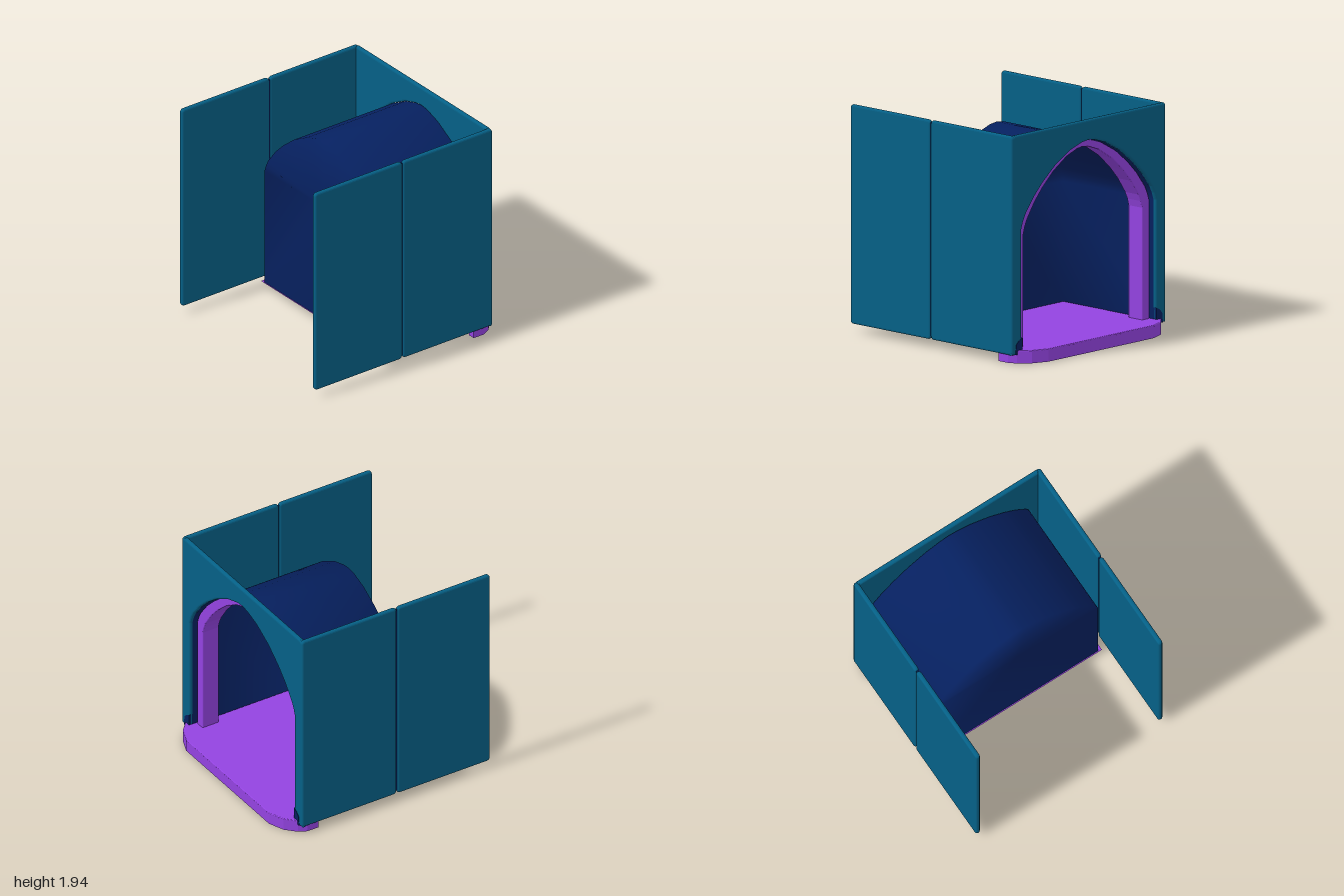
import * as THREE from 'three';

const mat = (name, hex, side = THREE.FrontSide) => {
  const m = new THREE.MeshStandardMaterial({ color: hex, side });
  m.name = name;
  return m;
};

// Right half of the arch, from floor to apex
const halfArch = [
  [0.81, 0.072], [0.81, 1.13], [0.79, 1.19], [0.76, 1.25], [0.66, 1.38],
  [0.55, 1.49], [0.4, 1.61], [0.22, 1.71], [0.08, 1.755], [0, 1.765],
];
// Full arch from +x foot over the apex to -x foot
const arch = (sx = 1, dy = 0, foot = 0.072) => {
  const half = halfArch.map(([x, y], i) => [x * sx, i === 0 ? foot : y - dy]);
  return [...half, ...half.slice(0, -1).reverse().map(([x, y]) => [-x, y])];
};
const shapeOf = (pts) => new THREE.Shape(pts.map(([x, y]) => new THREE.Vector2(x, y)));

// Extrusion whose bevel stays inside the given outline and depth
function slab(shape, depth, bevel = 0) {
  const g = new THREE.ExtrudeGeometry(shape, {
    depth: depth - 2 * bevel, bevelEnabled: bevel > 0, bevelSize: bevel,
    bevelThickness: bevel, bevelOffset: -bevel, bevelSegments: 3, curveSegments: 6,
  });
  return g.translate(0, 0, bevel);
}

function roundedRect(w, h, r) {
  const s = new THREE.Shape(), x = w / 2, y = h / 2;
  s.absarc(x - r, y - r, r, 0, Math.PI / 2);
  s.absarc(-x + r, y - r, r, Math.PI / 2, Math.PI);
  s.absarc(-x + r, -y + r, r, Math.PI, Math.PI * 1.5);
  s.absarc(x - r, -y + r, r, Math.PI * 1.5, Math.PI * 2);
  return s;
}

// Smooth vault swept along z, closed by an end wall that shares its rim
function vault(pts, z0, z1) {
  const pos = [], idx = [], hub = pts.length * 2;
  pts.forEach(([x, y]) => pos.push(x, y, z0, x, y, z1));
  pos.push(0, 1.15, z1);
  for (let a = 0; a < hub - 2; a += 2) {
    idx.push(a, a + 2, a + 1, a + 1, a + 2, a + 3, hub, a + 1, a + 3);
  }
  idx.push(hub, hub - 1, 1);
  const g = new THREE.BufferGeometry();
  g.setAttribute('position', new THREE.Float32BufferAttribute(pos, 3));
  g.setIndex(idx);
  g.computeVertexNormals();
  return g;
}

export function createModel() {
  const model = new THREE.Group();
  model.name = 'archedAlcove';
  const teal = mat('teal', 0x056086);
  const navy = mat('navy', 0x06205f, THREE.DoubleSide);
  const purple = mat('purple', 0x9343e0);
  const add = (name, geo, material, x = 0, y = 0, z = 0) => {
    const m = new THREE.Mesh(geo, material);
    m.name = name;
    m.position.set(x, y, z);
    model.add(m);
  };

  // Entrance wall with arched opening
  const wall = shapeOf([
    [0.93, 0.072], [0.93, 1.9], [0.918, 1.928], [0.89, 1.94],
    [-0.89, 1.94], [-0.918, 1.928], [-0.93, 1.9], [-0.93, 0.072],
    ...arch().reverse(),
  ]);
  add('entranceWall', slab(wall, 0.042, 0.018), teal, 0, 0, -0.86);

  for (const side of [-1, 1]) {
    // Side panels in two leaves, with a dark hinge strip between
    for (const [name, z0, z1] of [['rearSidePanel', -0.86, 0.077], ['frontSidePanel', 0.083, 1]]) {
      const g = slab(roundedRect(z1 - z0, 1.868, 0.03), 0.042, 0.018);
      g.rotateY(-Math.PI / 2).center();
      add(name, g, teal, side * 0.911, 1.006, (z0 + z1) / 2);
    }
    add('hingeStrip', new THREE.BoxGeometry(0.018, 1.82, 0.04), navy, side * 0.91, 1.01, 0.08);

    // Dark gusset through the wall at the foot of the opening
    const gusset = shapeOf([[0.81, 0.075], [0.89, 0.075], [0.88, 0.16], [0.85, 0.19], [0.81, 0.21]]
      .map(([x, y]) => [side * x, y]));
    add('footGusset', slab(gusset, 0.05), navy, 0, 0, -0.864);
  }

  // Alcove vault with its end wall
  add('alcoveVault', vault(arch(), -0.83, 0.2), navy);

  // Arched door trim, set back behind the wall
  const trim = shapeOf([...arch(0.99, 0.005, 0.1), ...arch(0.885, 0.065, 0.1).reverse()]);
  add('archTrim', slab(trim, 0.16, 0.008), purple, 0, 0, -0.79);

  // Flange around the foot of the alcove (outline in x and -z)
  const flange = shapeOf([
    [0.845, 0.7], [0.808, 0.7], [0.808, -0.198], [-0.808, -0.198], [-0.808, 0.7],
    [-0.845, 0.7], [-0.845, -0.21], [0.845, -0.21],
  ]);
  add('floorFlange', new THREE.ShapeGeometry(flange).rotateX(-Math.PI / 2), purple, 0, 0.075, 0);

  // Floor and doorstep in one sheet, with a hollow rim under the step
  const right = [[0.905, 0.68], [0.905, 0.79], [0.87, 0.86], [0.78, 0.945], [0.64, 1]];
  const step = [...right, ...right.slice().reverse().map(([x, z]) => [-x, z])];
  const floor = shapeOf([...step, [-0.803, 0.68], [-0.803, -0.196], [0.803, -0.196], [0.803, 0.68]]);
  add('floorAndStep', slab(floor, 0.016, 0.007).rotateX(-Math.PI / 2), purple, 0, 0.094, 0);
  const inner = step.map(([x, z]) => [x * 0.987, z === 0.68 ? z : z - 0.01]).reverse();
  add('stepRim', slab(shapeOf([...step, ...inner]), 0.1).rotateX(-Math.PI / 2), purple);
  for (const side of [-1, 1]) {
    add('stepWingEnd', new THREE.BoxGeometry(0.06, 0.075, 0.01), purple, side * 0.872, 0.0375, -0.686);
  }

  return model;
}
